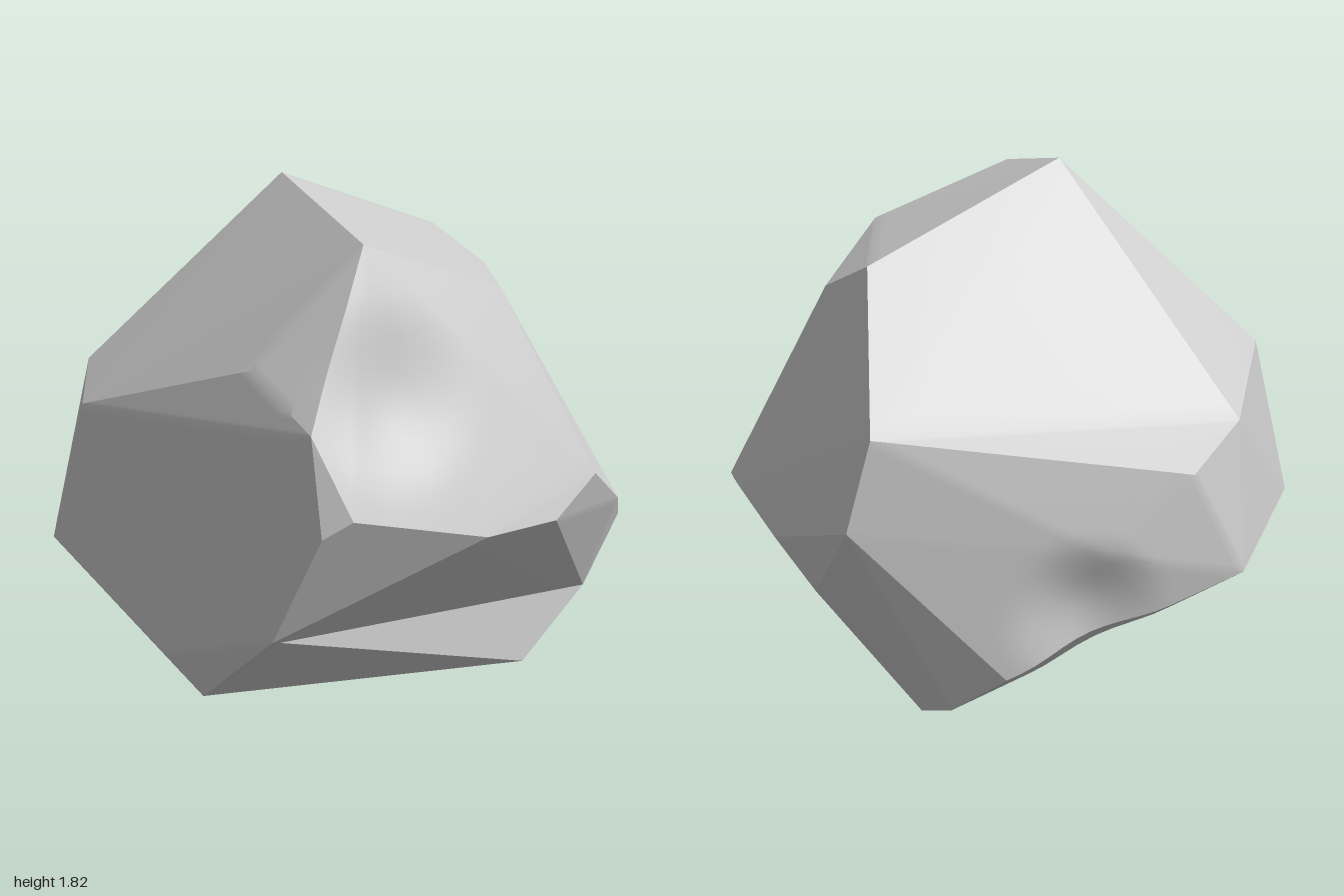
import * as THREE from 'three';
import { ConvexGeometry } from 'three/addons/geometries/ConvexGeometry.js';
import { toCreasedNormals } from 'three/addons/utils/BufferGeometryUtils.js';

const material = new THREE.MeshStandardMaterial({ color: 0xcccccc });
const vec = (c) => new THREE.Vector3(...c);

// Facet corners, grouped by the region of the boulder they belong to
const crown = [
  [-0.13, 1.82, -0.18], [-0.25, 1.69, 0.55], [0.28, 1.49, 0.61],
  [0.65, 1.53, -0.33], [0.71, 1.41, -0.06],
];
const backSide = [
  [0.78, 1.04, -0.69], [0.87, 0.73, -0.69], [-0.32, 0.83, -0.88],
  [-0.53, 0.98, -0.81], [-0.79, 1.15, -0.47], [-0.49, 0.47, -0.94],
  [0, 0.58, -0.88], [0.35, 0.16, -0.81], [0.5, 0.02, -0.68],
];
const leftFlank = [
  [-0.91, 1.04, -0.28], [-1, 0.52, -0.38], [-0.62, 1.28, 0.42],
  [-0.58, 1.13, 0.75], [-0.59, 0.8, 0.83], [-0.68, 0.4, 0.66], [-0.85, 0.23, 0.2],
];
const frontRidge = [
  [-0.5, 0.86, 0.88], [0, 0.73, 0.94], [0.3, 0.73, 0.93], [0.51, 0.85, 0.88],
];
const rightFlank = [
  [0.75, 0.67, 0.73], [0.9, 0.53, 0.56], [0.96, 0.62, 0.37], [1, 0.65, 0.1],
  [0.98, 0.58, -0.24], [0.93, 0.55, -0.38], [0.9, 0.44, -0.44], [0.95, 0.79, 0.1],
];
const base = [[-0.77, 0.1, 0.33], [0.75, 0.27, 0.55], [0.58, 0, -0.6]];

// Shallow hollows: centre, radius and push at the centre
const hollows = [
  { centre: vec([0.08, 0.38, -0.86]), radius: 0.3, push: vec([0, 0.02, 0.06]) },
  { centre: vec([-0.25, 1.2, 0.75]), radius: 0.36, push: vec([0, -0.01, -0.04]) },
];

// Splits every triangle into four
function split(points) {
  const out = [];
  for (let i = 0; i < points.length; i += 3) {
    const [a, b, c] = points.slice(i, i + 3);
    const [ab, bc, ca] = [[a, b], [b, c], [c, a]].map(([p, q]) => p.clone().lerp(q, 0.5));
    out.push(a, ab, ca, ab, b, bc, ca, bc, c, ab, bc, ca);
  }
  return out;
}

function dent(point) {
  const moved = point.clone();
  for (const { centre, radius, push } of hollows) {
    const t = Math.max(0, 1 - point.distanceTo(centre) / radius);
    moved.addScaledVector(push, t * t * (3 - 2 * t));
  }
  return moved;
}

function makeMesh(name, geometry) {
  const mesh = new THREE.Mesh(toCreasedNormals(geometry, 0.3), material);
  mesh.name = name;
  return mesh;
}

export function createModel() {
  const group = new THREE.Group();
  group.name = 'boulder';

  // Main faceted mass, finely divided so the hollows can be pressed in
  const hull = new ConvexGeometry([
    ...crown, ...backSide, ...leftFlank, ...frontRidge, ...rightFlank, ...base,
  ].map(vec));
  const pos = hull.attributes.position;
  let points = Array.from({ length: pos.count }, (_, i) => new THREE.Vector3().fromBufferAttribute(pos, i));
  for (let level = 0; level < 4; level++) points = split(points);
  group.add(makeMesh('boulderBody', new THREE.BufferGeometry().setFromPoints(points.map(dent))));

  // Thin foot along the lower front edge, with the underside rising behind it
  group.add(makeMesh('boulderFoot', new ConvexGeometry([
    [0.43, 0.05, 0.6], [0.4, 0.07, 0.47], [-0.68, 0.4, 0.65], [-0.77, 0.1, 0.33],
    [0.75, 0.27, 0.55], [0.2, 0.35, 0.4],
  ].map(vec))));
  return group;
}
